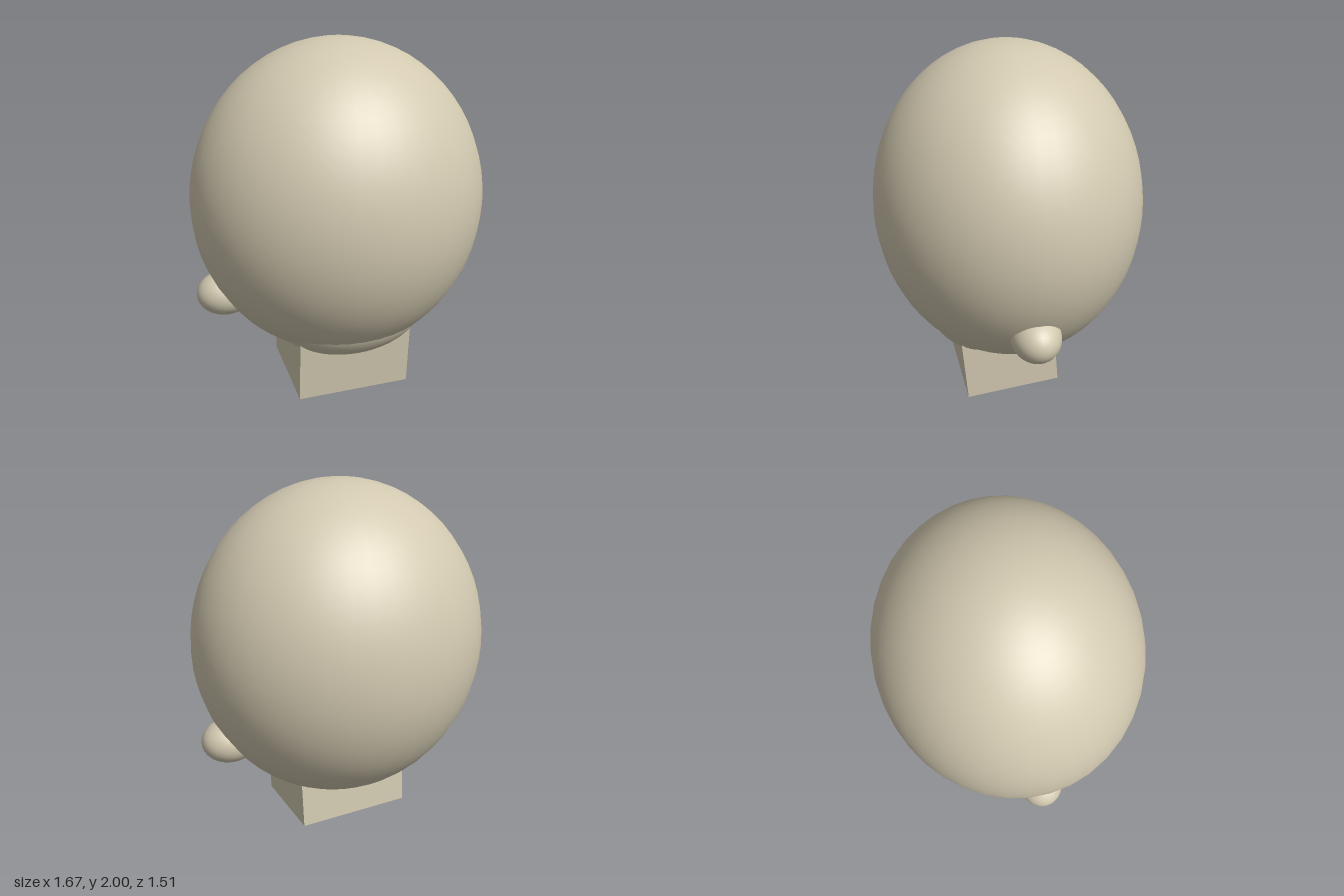
import * as THREE from 'three';

export function createModel() {
  const model = new THREE.Group();
  const skin = new THREE.MeshStandardMaterial({ color: 0xd2c9b0 });

  function add(name, geometry, x, y, z) {
    const mesh = new THREE.Mesh(geometry, skin);
    mesh.name = name;
    mesh.position.set(x, y, z);
    model.add(mesh);
    return mesh;
  }

  // Smooth ellipsoid from three radii
  function ellipsoid(rx, ry, rz, sides, rings) {
    return new THREE.SphereGeometry(1, sides, rings).scale(rx, ry, rz);
  }

  // Egg-shaped head
  add('head', ellipsoid(0.835, 0.9, 0.755, 40, 32), 0, 1.1, 0);

  // Chin bulging slightly from the underside of the head
  add('chin', ellipsoid(0.45, 0.27, 0.3, 40, 24), 0, 0.5, 0.2);

  // Ears, half sunk into the head
  for (const side of [1, -1]) {
    add(side > 0 ? 'leftEar' : 'rightEar', ellipsoid(0.165, 0.127, 0.135, 32, 20), side * 0.67, 0.595, 0);
  }

  // Square neck leaning forward
  const neck = add('neck', new THREE.BoxGeometry(0.66, 0.45, 0.542).translate(0, 0.225, 0), 0, 0.0236, 0.035);
  neck.rotation.x = THREE.MathUtils.degToRad(5);

  return model;
}
